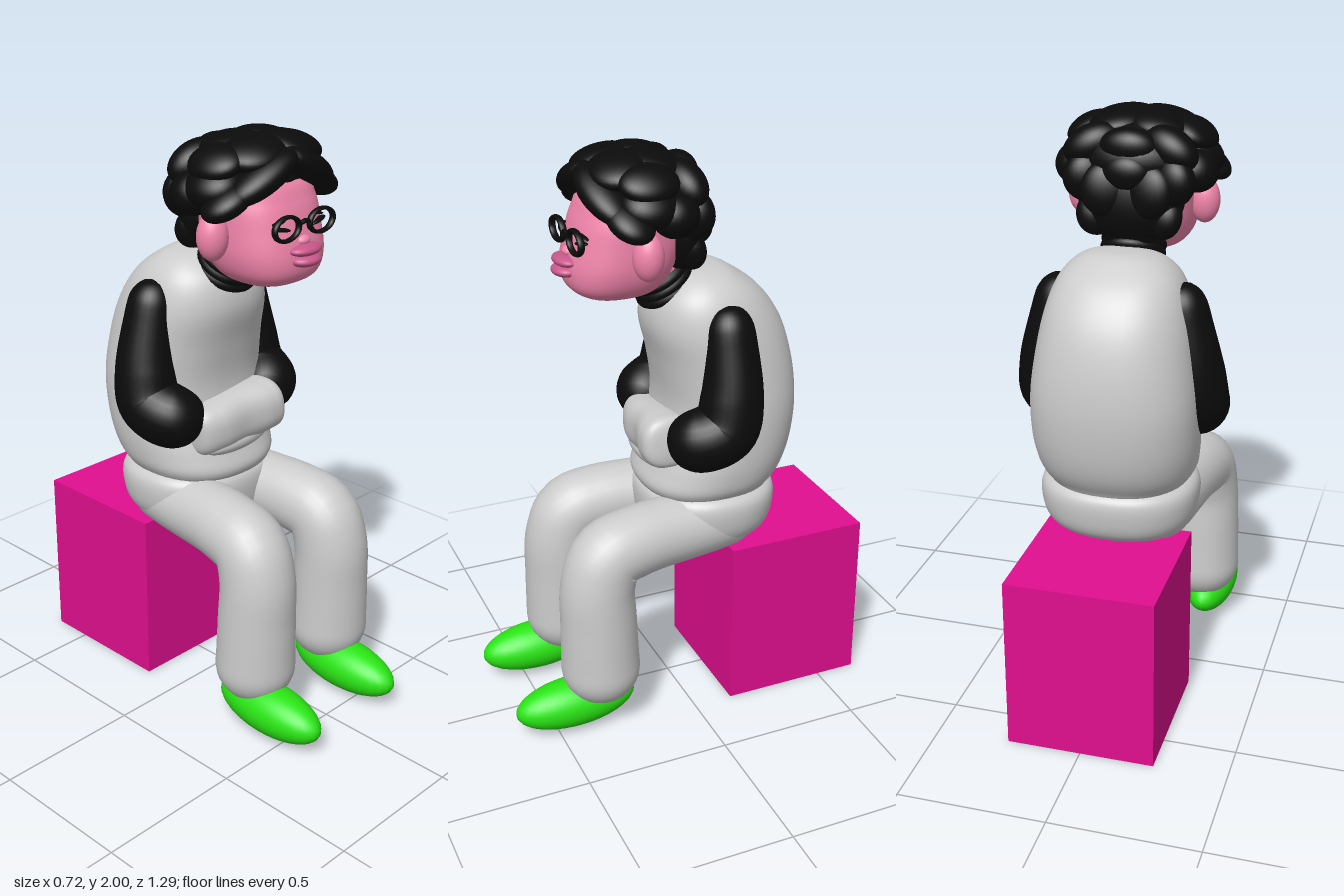
import * as THREE from 'three';
import { mergeVertices } from 'three/addons/utils/BufferGeometryUtils.js';

const mat = (color) => new THREE.MeshStandardMaterial({ color, side: THREE.DoubleSide });
const grey = mat(0xcccccc), black = mat(0x0b0b0b), skin = mat(0xf285ab);
const lipPink = mat(0xc8568a), green = mat(0x2ae514), magenta = mat(0xe00f8f);
const V = (a) => new THREE.Vector3(...a);

// Rebuild normals across the seam so the surface stays smooth
function smooth(geo) {
  geo.deleteAttribute('uv');
  geo.deleteAttribute('normal');
  const g = mergeVertices(geo, 1e-5);
  g.computeVertexNormals();
  return g;
}

// Tube with changing radius and rounded ends
function limb(points, radii, segs = 56, sides = 28) {
  const curve = new THREE.CatmullRomCurve3(points.map(V), false, 'centripetal');
  const geo = new THREE.TubeGeometry(curve, segs, 1, sides);
  const pos = geo.attributes.position, len = curve.getLength(), p = new THREE.Vector3();
  for (let i = 0; i <= segs; i++) {
    const t = i / segs, c = curve.getPointAt(t);
    const f = t * (radii.length - 1), k = Math.min(Math.floor(f), radii.length - 2);
    let r = THREE.MathUtils.lerp(radii[k], radii[k + 1], f - k);
    const d = Math.min(t, 1 - t) * len;
    if (d < r) r *= Math.sqrt(Math.max(0, 1 - (1 - d / r) ** 2));
    for (let j = 0; j <= sides; j++) {
      const n = i * (sides + 1) + j;
      p.fromBufferAttribute(pos, n).sub(c).multiplyScalar(r).add(c);
      pos.setXYZ(n, p.x, p.y, p.z);
    }
  }
  return smooth(geo);
}

// Stack of rounded sections: [height, half width, front z, back z]
function loft(rows, power = 2.3) {
  const a = new THREE.CatmullRomCurve3(rows.map((r) => V([r[0], r[1], 0])), false, 'catmullrom');
  const b = new THREE.CatmullRomCurve3(rows.map((r) => V([r[2], r[3], 0])), false, 'catmullrom');
  const geo = new THREE.CylinderGeometry(1, 1, 1, 48, 60, true), pos = geo.attributes.position;
  const bend = (v) => Math.sign(v) * Math.abs(v) ** (2 / power);
  for (let i = 0; i < pos.count; i++) {
    const t = THREE.MathUtils.clamp(pos.getY(i) + 0.5, 0, 1);
    const s = a.getPoint(t), d = b.getPoint(t);
    pos.setXYZ(i, bend(pos.getX(i)) * s.y, s.x, (d.x + d.y) / 2 + bend(pos.getZ(i)) * (d.x - d.y) / 2);
  }
  return smooth(geo);
}

export function createModel() {
  const root = new THREE.Group();
  const add = (name, geo, material, at = [0, 0, 0], rot = [0, 0, 0], scale = [1, 1, 1], parent = root) => {
    const m = new THREE.Mesh(geo, material);
    m.name = name;
    m.position.set(...at);
    m.rotation.set(...rot);
    m.scale.set(...scale);
    parent.add(m);
    return m;
  };
  const ball = new THREE.SphereGeometry(1, 28, 20);
  const blob = (name, material, at, scale, rot, parent) => add(name, ball, material, at, rot, scale, parent);

  // Seat block
  add('seatBlock', new THREE.BoxGeometry(0.505, 0.61, 0.505), magenta, [0, 0.305, -0.392]);

  // Body
  add('torso', loft([
    [0.77, 0, -0.1, -0.12], [0.785, 0.19, 0.06, -0.31], [0.83, 0.25, 0.11, -0.36],
    [0.9, 0.272, 0.09, -0.4], [1.0, 0.28, 0.05, -0.425], [1.13, 0.278, 0.03, -0.435],
    [1.27, 0.262, 0.05, -0.42], [1.4, 0.24, 0.08, -0.38], [1.5, 0.205, 0.06, -0.31],
    [1.56, 0.15, 0.0, -0.23], [1.585, 0.08, -0.06, -0.18], [1.59, 0, -0.12, -0.13],
  ]), grey);
  add('hips', loft([
    [0.595, 0, -0.13, -0.15], [0.605, 0.17, 0.02, -0.25], [0.65, 0.24, 0.09, -0.335],
    [0.72, 0.268, 0.11, -0.365], [0.8, 0.26, 0.1, -0.36], [0.83, 0.18, 0.03, -0.28], [0.84, 0, -0.1, -0.12],
  ]), grey);

  // Limbs
  for (const s of [-1, 1]) {
    const side = s > 0 ? 'left' : 'right';
    add(side + 'Leg', limb([
      [s * 0.13, 0.71, -0.27], [s * 0.15, 0.695, 0], [s * 0.172, 0.685, 0.2], [s * 0.182, 0.655, 0.3],
      [s * 0.187, 0.56, 0.338], [s * 0.19, 0.4, 0.34], [s * 0.19, 0.1, 0.333],
    ], [0.11, 0.12, 0.12, 0.125, 0.13, 0.135, 0.142]), grey);
    const x = s > 0 ? 0.177 : -0.213;
    blob(side + 'Shoe', green, [x, 0.1, 0.428], [0.09, 0.088, 0.218], [0.03, 0, 0]);
    add(side + 'Arm', limb([
      [s * 0.195, 1.5, -0.125], [s * 0.215, 1.38, -0.13], [s * 0.245, 1.2, -0.125],
      [s * 0.25, 1.09, -0.1], [s * 0.235, 1.055, -0.03], [s * 0.15, 1.05, 0.06],
    ], [0.07, 0.085, 0.095, 0.105, 0.112, 0.11, 0.095]), black);
  }

  // Joined sleeve over the hands, lying across the lap
  const muff = add('handCover', loft([
    [-0.19, 0, 0.02, 0], [-0.175, 0.075, 0.09, -0.03], [-0.1, 0.09, 0.12, -0.05], [0, 0.095, 0.125, -0.05],
    [0.1, 0.093, 0.148, -0.05], [0.16, 0.08, 0.135, -0.03], [0.18, 0, 0.04, 0.02],
  ], 2.5), grey, [0, 1.005, 0], [0, 0, -Math.PI / 2]);
  muff.geometry.rotateZ(0.08);
  muff.rotation.z = -Math.PI / 2 + 0.03;
  blob('handCoverFold', grey, [-0.01, 0.93, 0.065], [0.15, 0.04, 0.05], [0, 0, 0.03]);

  // Neck and rolled collar
  add('neck', limb([[0, 1.48, -0.03], [0, 1.58, 0.03], [0, 1.7, 0.1]], [0.1, 0.095, 0.1]), skin);
  for (let i = 0; i < 3; i++) {
    add('collarRing', new THREE.TorusGeometry(0.088, 0.022, 12, 36), black,
      [0, 1.525 + i * 0.024, 0.008 + i * 0.013], [-Math.PI / 2 + 0.54, 0, 0]);
  }

  // Head
  const head = new THREE.Group();
  head.name = 'head';
  root.add(head);
  add('face', loft([
    [1.525, 0, 0.21, 0.19], [1.532, 0.095, 0.29, 0.1], [1.565, 0.148, 0.345, 0.04], [1.63, 0.176, 0.358, 0.0],
    [1.72, 0.182, 0.34, -0.03], [1.8, 0.178, 0.315, -0.03], [1.87, 0.15, 0.27, 0], [1.92, 0, 0.14, 0.12],
  ], 2.5), skin, [0, 0, 0], [0, 0, 0], [1, 1, 1], head);
  blob('upperLip', lipPink, [0, 1.658, 0.352], [0.066, 0.02, 0.042], [0, 0, 0], head);
  blob('lowerLip', lipPink, [0, 1.625, 0.352], [0.058, 0.022, 0.048], [0, 0, 0], head);
  blob('nose', skin, [0, 1.685, 0.338], [0.028, 0.018, 0.025], [0, 0, 0], head);
  for (const s of [-1, 1]) {
    blob('ear', skin, [s * 0.21, 1.7, 0.155], [0.052, 0.078, 0.05], [0, s * 0.3, 0], head);
    blob('closedEye', black, [s * 0.085, 1.73, 0.328], [0.038, 0.007, 0.014], [0, s * 0.12, s * 0.2], head);
    blob('eyelash', black, [s * 0.09, 1.752, 0.322], [0.026, 0.005, 0.014], [0, s * 0.12, s * -0.25], head);
    add('glassesRim', new THREE.TorusGeometry(0.055, 0.009, 10, 36), black, [s * 0.08, 1.735, 0.347],
      [0, 0, 0], [1, 0.68, 1.3], head);
  }
  add('glassesBridge', limb([[-0.03, 1.738, 0.347], [0, 1.748, 0.35], [0.03, 1.738, 0.347]], [0.008, 0.008], 12, 10),
    black, [0, 0, 0], [0, 0, 0], [1, 1, 1], head);

  // Hair: a cap and back mass covered with overlapping locks
  const hair = new THREE.Group();
  hair.name = 'hair';
  head.add(hair);
  blob('hairCap', black, [0, 1.855, 0.095], [0.215, 0.125, 0.19], [0, 0, 0], hair);
  blob('hairBack', black, [0, 1.74, 0.0], [0.18, 0.16, 0.095], [0.15, 0, 0], hair);
  for (const s of [-1, 1]) {
    const locks = [
      // position, radii, rotation
      [[0.1, 1.885, 0.26], [0.14, 0.05, 0.075], [0, 0.2, -0.5]],
      [[0.2, 1.82, 0.21], [0.095, 0.045, 0.075], [0, 0.2, -0.5]],
      [[0.19, 1.86, 0.14], [0.09, 0.06, 0.1], [0, 0, -0.5]],
      [[0.18, 1.925, 0.14], [0.08, 0.045, 0.1], [0, 0, -0.5]],
      [[0.08, 1.95, 0.2], [0.11, 0.045, 0.1], [0.2, 0, -0.2]],
      [[0.07, 1.955, 0.09], [0.1, 0.045, 0.1], [-0.1, 0, -0.15]],
      [[0.2, 1.82, 0.06], [0.075, 0.07, 0.08], [0, 0.3, -0.4]],
      [[0.13, 1.9, 0.0], [0.1, 0.065, 0.065], [-0.4, 0.4, -0.3]],
      [[0.14, 1.8, -0.02], [0.085, 0.085, 0.06], [0, 0.5, -0.2]],
      [[0.07, 1.77, -0.06], [0.085, 0.09, 0.045], [0.15, 0.2, 0]],
      [[0.11, 1.68, -0.02], [0.07, 0.075, 0.05], [0.3, 0.4, 0.2]],
      [[0.045, 1.65, -0.015], [0.06, 0.07, 0.045], [0.4, 0, 0]],
    ];
    for (const [p, r, e] of locks) {
      blob('hairLock', black, [s * p[0], p[1], p[2]], r, [e[0], s * e[1], s * e[2]], hair);
    }
  }
  blob('hairLock', black, [0, 1.9, -0.03], [0.1, 0.07, 0.06], [-0.5, 0, 0], hair);
  blob('hairLock', black, [0, 1.83, -0.065], [0.08, 0.06, 0.045], [0, 0, 0], hair);
  return root;
}
